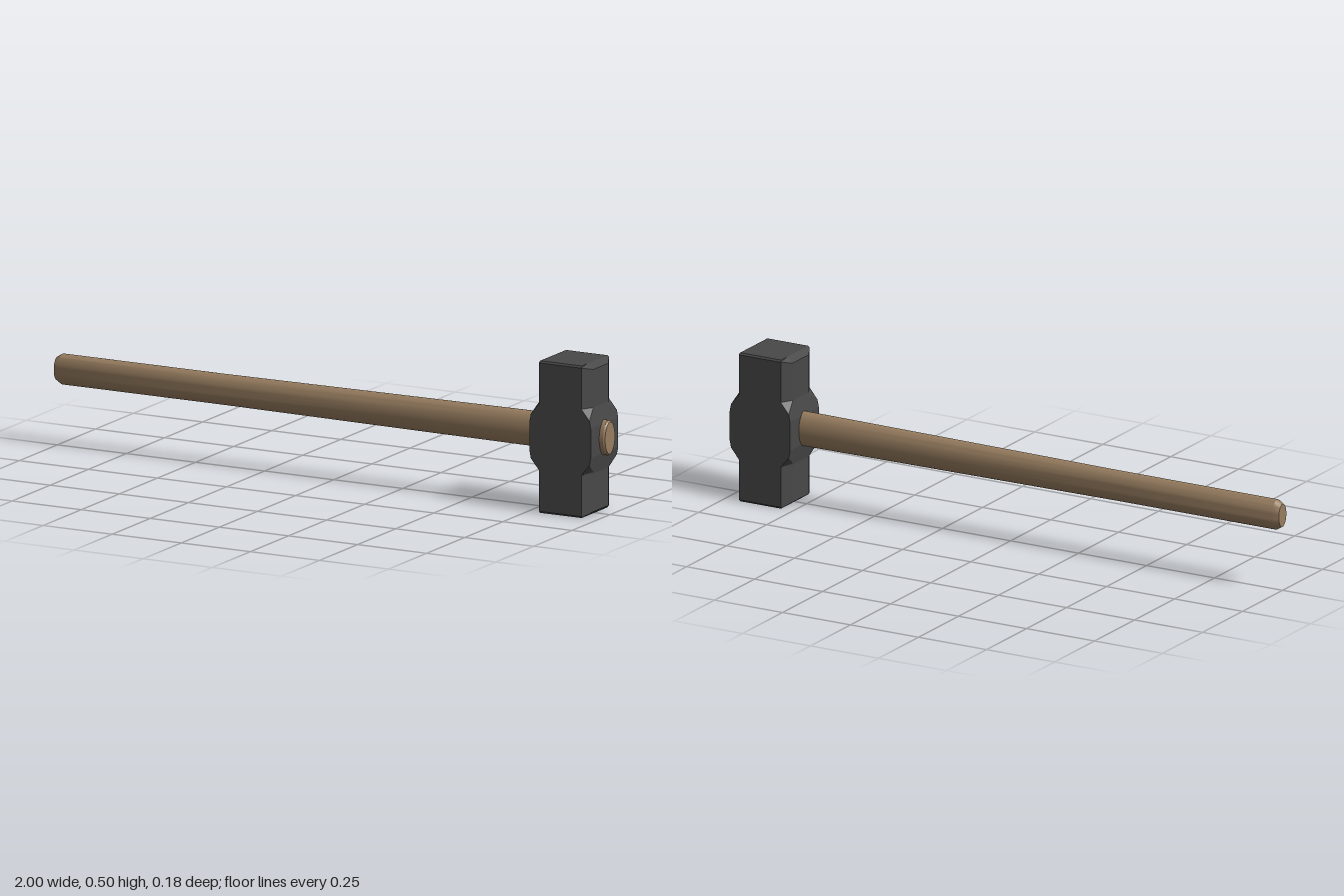
import * as THREE from 'three';
import { toCreasedNormals } from 'three/addons/utils/BufferGeometryUtils.js';

const CENTER_Y = 0.2475;

// Forged head: eight-sided sections lofted along y, widening to a square block round the eye
function headGeometry() {
  // [flat-side y, flat half x, corner y, corner half x, corner half z], lower half, y from the bottom
  const lower = [
    [0, 0.075, 0, 0.075, 0.085],
    [0.016, 0.098, 0.006, 0.077, 0.09],
    [0.14, 0.098, 0.14, 0.077, 0.09],
    [0.145, 0.099, 0.175, 0.106, 0.09],
    [0.2, 0.111, 0.2, 0.111, 0.09],
  ];
  const upper = lower.map(([a, b, c, d, e]) => [2 * CENTER_Y - a, b, 2 * CENTER_Y - c, d, e]).reverse();
  const zFlat = 0.05;
  const rings = [...lower, ...upper].map(([yF, xF, yC, xC, zC]) => [
    [xF, yF, -zFlat], [xF, yF, zFlat], [xC, yC, zC], [-xC, yC, zC],
    [-xF, yF, zFlat], [-xF, yF, -zFlat], [-xC, yC, -zC], [xC, yC, -zC],
  ]);
  const pos = [];
  const tri = (a, b, c) => pos.push(...a, ...b, ...c);
  for (let i = 0; i < rings.length - 1; i++) {
    for (let j = 0; j < 8; j++) {
      const k = (j + 1) % 8;
      const a = rings[i][j], b = rings[i + 1][j], c = rings[i][k], d = rings[i + 1][k];
      tri(a, b, c);
      tri(b, d, c);
    }
  }
  // Striking faces
  const bottom = rings[0], top = rings[rings.length - 1];
  for (let j = 1; j < 7; j++) {
    tri(bottom[0], bottom[j], bottom[j + 1]);
    tri(top[0], top[j + 1], top[j]);
  }
  const g = new THREE.BufferGeometry();
  g.setAttribute('position', new THREE.Float32BufferAttribute(pos, 3));
  g.computeVertexNormals();
  return g;
}

// Oval shaft, slightly thicker toward the head, with bevelled ends
function handleGeometry() {
  const profile = [
    [0, -1], [0.038, -1], [0.05, -0.98], [0.05, -0.4], [0.054, 0.2],
    [0.057, 0.7], [0.057, 0.994], [0.052, 1], [0, 1],
  ].map(([r, y]) => new THREE.Vector2(r, y));
  const g = new THREE.LatheGeometry(profile, 32);
  g.rotateZ(-Math.PI / 2);
  g.scale(1, 1, 0.62);
  return toCreasedNormals(g, 0.45);
}

export function createModel() {
  const steel = new THREE.MeshStandardMaterial({ color: 0x484848 });
  steel.name = 'dark steel';
  const wood = new THREE.MeshStandardMaterial({ color: 0x967c5f });
  wood.name = 'wood';

  const model = new THREE.Group();
  model.name = 'sledgehammer';

  const head = new THREE.Mesh(headGeometry(), steel);
  head.name = 'head';
  head.position.x = 0.869;

  const handle = new THREE.Mesh(handleGeometry(), wood);
  handle.name = 'handle';
  handle.position.y = CENTER_Y + 0.002;

  model.add(head, handle);
  return model;
}
